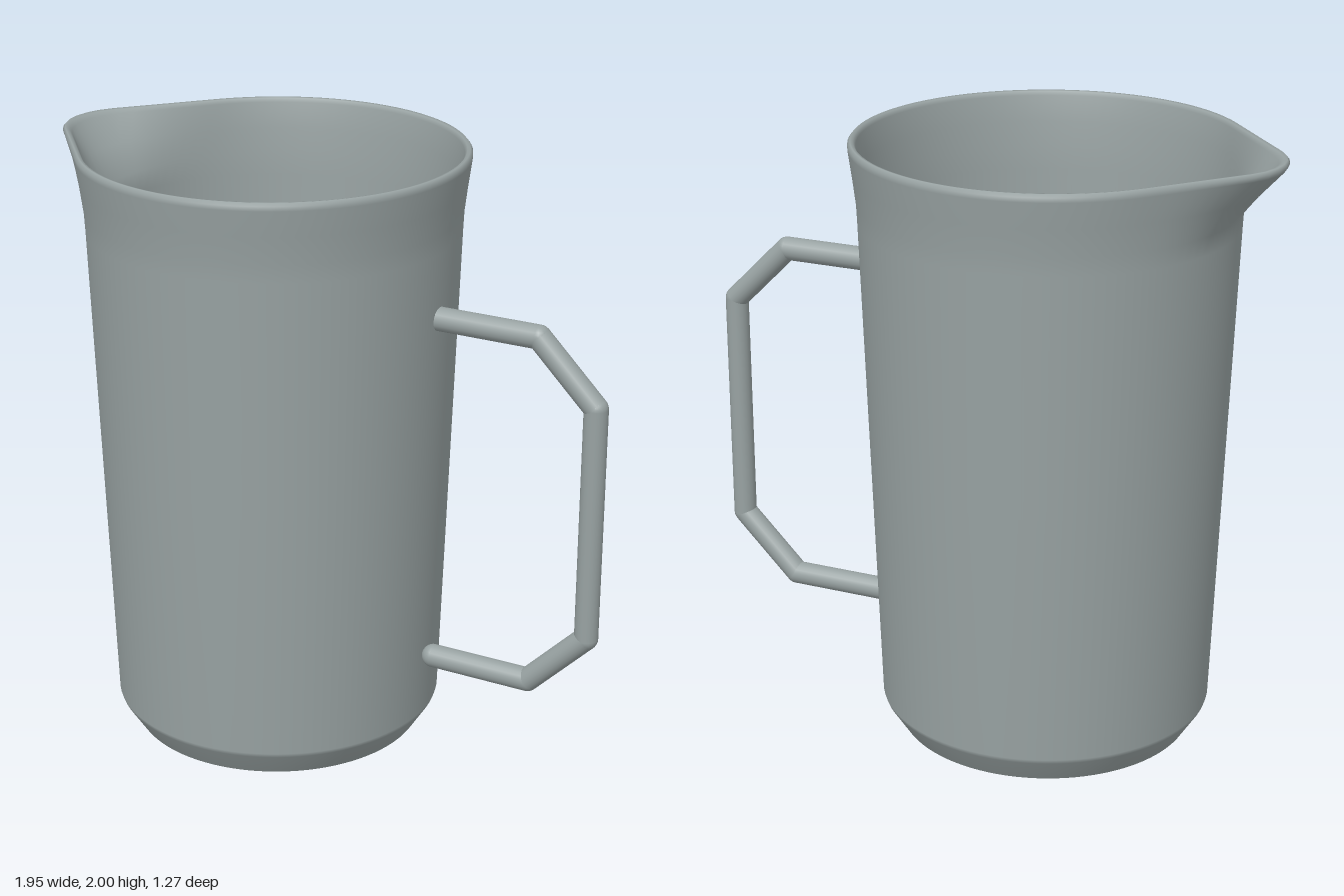
import * as THREE from 'three';

const CX = -0.21;            // axis of the jug
const SEG = 96;
const R = 0.635;             // rim radius

// Extra rim radius at angle a from the spout: a small tip circle joined by tangents to the rim circle
function spoutReach(a) {
  const d = 0.55, tip = 0.22;
  const tangent = Math.acos((R - tip) / d);
  const tipEnd = Math.atan2(tip * Math.sin(tangent), d + tip * Math.cos(tangent));
  a = Math.abs(a);
  if (a < tipEnd) return d * Math.cos(a) + Math.sqrt(tip * tip - (d * Math.sin(a)) ** 2) - R;
  if (a < tangent) return R / Math.cos(tangent - a) - R;
  return 0;
}

// Rings of [radius, height, spout amount], each joined to the next
function ringSurface(profile) {
  const pos = [], idx = [];
  for (const [r, y, s] of profile) {
    for (let j = 0; j < SEG; j++) {
      const a = (j / SEG) * Math.PI * 2;
      const wrapped = a > Math.PI ? a - Math.PI * 2 : a;
      const rad = r + s * spoutReach(wrapped);
      pos.push(CX - rad * Math.cos(a), y, rad * Math.sin(a));
    }
  }
  for (let i = 0; i < profile.length - 1; i++) {
    for (let j = 0; j < SEG; j++) {
      const k = (j + 1) % SEG;
      const a = i * SEG + j, b = i * SEG + k, c = a + SEG, d = b + SEG;
      idx.push(a, b, d, a, d, c);
    }
  }
  const g = new THREE.BufferGeometry();
  g.setAttribute('position', new THREE.Float32BufferAttribute(pos, 3));
  g.setIndex(idx);
  g.computeVertexNormals();
  return g;
}

export function createModel() {
  const model = new THREE.Group();
  model.name = 'jug';
  const steel = new THREE.MeshStandardMaterial({ color: 0x98a2a2 });
  steel.name = 'steel grey';

  const add = (geometry, name, parent = model) => {
    const mesh = new THREE.Mesh(geometry, steel);
    mesh.name = name;
    parent.add(mesh);
    return mesh;
  };

  // Outer wall, rolled lip and inner wall
  add(ringSurface([
    [0.49, 0, 0], [0.545, 0.085, 0], [0.55, 0.1, 0], [0.58, 0.95, 0], [0.608, 1.74, 0],
    [0.611, 1.8, 0], [0.622, 1.89, 0.46], [0.634, 1.975, 0.95], [0.634, 1.99, 1],
    [0.626, 2, 1], [0.616, 1.998, 0.98], [0.608, 1.985, 0.93],
    [0.598, 1.9, 0.48], [0.59, 1.81, 0], [0.587, 1.74, 0],
    [0.56, 0.95, 0], [0.53, 0.13, 0], [0.515, 0.08, 0], [0.49, 0.055, 0], [0.46, 0.05, 0],
  ]), 'body');

  // Inner floor and underside
  const floor = add(new THREE.CircleGeometry(0.46, SEG), 'innerFloor');
  floor.rotation.x = -Math.PI / 2;
  floor.position.set(CX, 0.05, 0);
  const base = add(new THREE.CircleGeometry(0.49, SEG), 'base');
  base.rotation.x = Math.PI / 2;
  base.position.set(CX, 0, 0);

  // Angular handle: straight rods with round joints and ends
  const handle = new THREE.Group();
  handle.name = 'handle';
  model.add(handle);
  const rod = 0.039;
  const path = [[0.39, 1.52], [0.735, 1.52], [0.935, 1.32], [0.935, 0.53], [0.735, 0.33], [0.39, 0.33]]
    .map(([x, y]) => new THREE.Vector3(x, y, 0));
  path.forEach((p, i) => {
    add(new THREE.SphereGeometry(rod, 20, 14), 'handleJoint', handle).position.copy(p);
    if (i === path.length - 1) return;
    const dir = path[i + 1].clone().sub(p);
    const bar = add(new THREE.CylinderGeometry(rod, rod, dir.length(), 20, 1, true), 'handleRod', handle);
    bar.position.copy(p).addScaledVector(dir, 0.5);
    bar.quaternion.setFromUnitVectors(new THREE.Vector3(0, 1, 0), dir.normalize());
  });

  return model;
}
